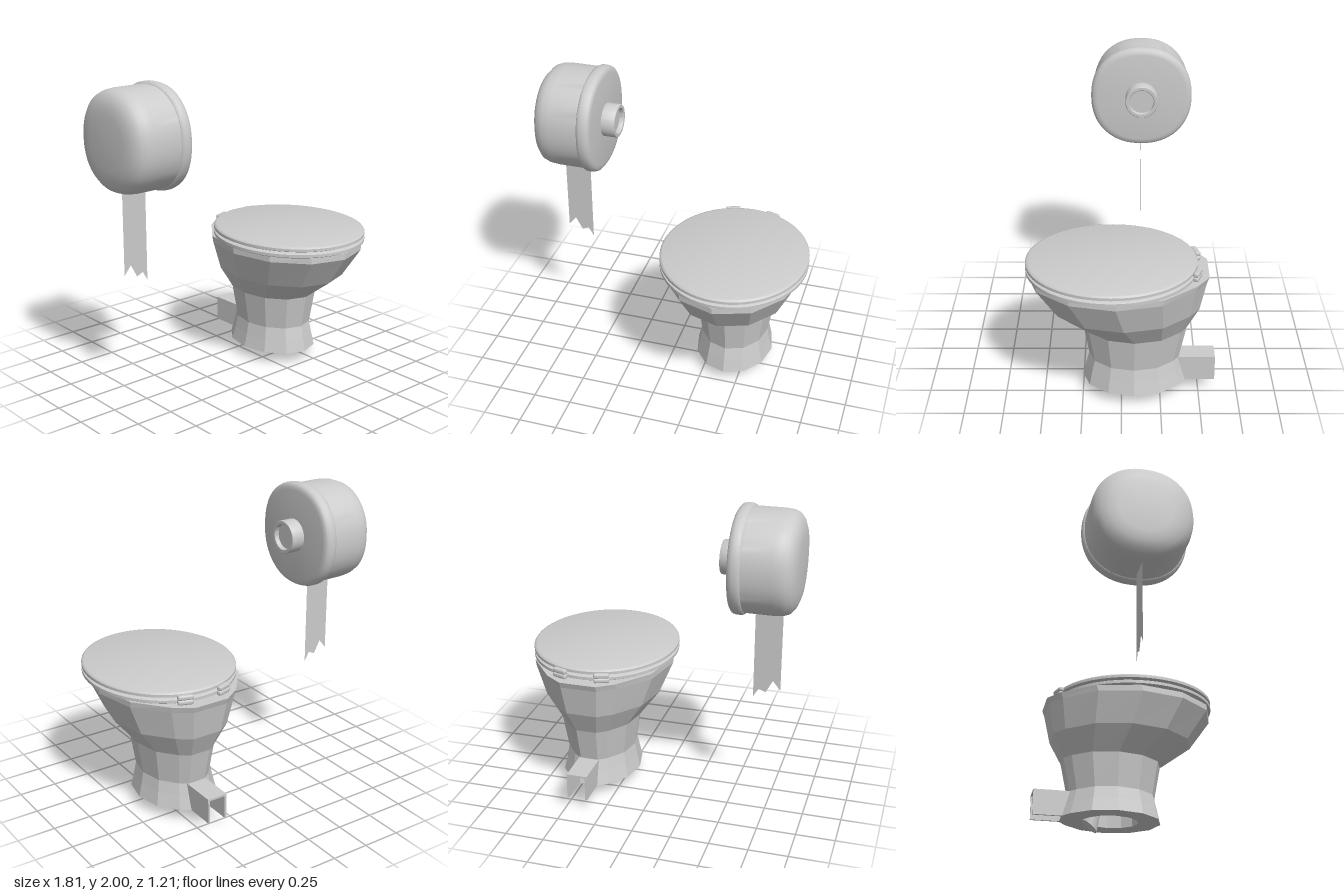
import * as THREE from 'three';
import { toCreasedNormals } from 'three/addons/utils/BufferGeometryUtils.js';
import { RoundedBoxGeometry } from 'three/addons/geometries/RoundedBoxGeometry.js';

const CX = 0.415; // centre line of the bowl
const smooth = new THREE.MeshStandardMaterial({ color: 0xcccccc });
const flat = new THREE.MeshStandardMaterial({ color: 0xcccccc, flatShading: true });
const thin = new THREE.MeshStandardMaterial({ color: 0xcccccc, side: THREE.DoubleSide });

function add(parent, name, geometry, material, x = 0, y = 0, z = 0) {
  const mesh = new THREE.Mesh(geometry, material);
  mesh.name = name;
  mesh.position.set(x, y, z);
  parent.add(mesh);
  return mesh;
}

// Revolved profile of [radius, height]; power > 2 makes the plan slightly square
function turned(profile, power = 2) {
  const g = new THREE.LatheGeometry(profile.map(([r, h]) => new THREE.Vector2(r, h)), 64);
  const p = g.attributes.position;
  for (let i = 0; i < p.count; i++) {
    const x = p.getX(i), z = p.getZ(i), r = Math.hypot(x, z);
    if (r < 1e-6) continue;
    const k = Math.pow(Math.pow(Math.abs(x / r), power) + Math.pow(Math.abs(z / r), power), -1 / power);
    p.setX(i, x * k);
    p.setZ(i, z * k);
  }
  return toCreasedNormals(g, 0.7);
}

// Plan outline: twelve-sided, with the rear point split into a flat edge
function planOutline() {
  const pts = [];
  for (let a = 0; a < 360; a += 30) {
    if (a === 180) pts.push([0.26, -1], [-0.26, -1]);
    else pts.push([Math.sin(a * Math.PI / 180), Math.cos(a * Math.PI / 180)]);
  }
  return pts;
}

// Skin over sections of [y, half width, front z, back z]
function loft(sections) {
  const plan = planOutline(), n = plan.length, pos = [], index = [];
  for (const [y, w, front, back] of sections)
    for (const [px, pz] of plan)
      pos.push(w * px, y, (front + back) / 2 + (front - back) / 2 * pz);
  for (let i = 0; i < sections.length - 1; i++)
    for (let j = 0; j < n; j++) {
      const a = i * n + j, b = i * n + (j + 1) % n;
      index.push(a, b, b + n, a, b + n, a + n);
    }
  const g = new THREE.BufferGeometry();
  g.setAttribute('position', new THREE.Float32BufferAttribute(pos, 3));
  g.setIndex(index);
  g.computeVertexNormals();
  return g;
}

function createToilet() {
  const toilet = new THREE.Group();
  toilet.name = 'toilet';

  // Hollow foot, outer wall, rim and basin in one skin
  add(toilet, 'bowl', loft([
    [0.42, 0.001, -0.08, -0.081],
    [0.42, 0.13, 0.09, -0.25],
    [0.08, 0.14, 0.10, -0.26],
    [0.08, 0.26, 0.25, -0.415],
    [0.17, 0.24, 0.23, -0.39],
    [0.25, 0.225, 0.21, -0.37],
    [0.475, 0.26, 0.25, -0.415],
    [0.63, 0.38, 0.46, -0.49],
    [0.83, 0.46, 0.60, -0.53],
    [0.87, 0.46, 0.60, -0.545],
    [0.87, 0.35, 0.47, -0.38],
    [0.65, 0.27, 0.33, -0.33],
    [0.50, 0.12, 0.06, -0.22],
    [0.48, 0.001, -0.08, -0.081],
  ]), flat, CX);

  // Oval seat ring and closed lid
  const seat = add(toilet, 'seat', turned([
    [0.66, 0.87], [0.975, 0.87], [1, 0.877], [1, 0.896], [0.975, 0.903], [0.66, 0.903], [0.66, 0.87],
  ]), smooth, 0.422, 0, 0.063);
  seat.scale.set(0.48, 1, 0.538);
  const lid = add(toilet, 'lid', turned([
    [0, 0.911], [0.975, 0.911], [1, 0.917], [1, 0.934], [0.99, 0.941], [0.965, 0.945], [0, 0.945],
  ]), smooth, 0.422, 0, 0.063);
  lid.scale.set(0.48, 1, 0.538);

  // Double-barrelled hinges following the rear curve
  for (const s of [-1, 1]) {
    const hinge = new THREE.Group();
    hinge.name = 'hinge';
    hinge.position.set(0.418 + s * 0.138, 0, -0.47);
    hinge.rotation.y = -s * 0.33;
    for (const y of [0.887, 0.918])
      add(hinge, 'hingeBarrel', new RoundedBoxGeometry(0.1, 0.032, 0.036, 2, 0.012), smooth, 0, y, 0);
    toilet.add(hinge);
  }

  // Rear channel, open below and behind
  const channel = new THREE.Shape();
  [[-0.068, 0.08], [-0.054, 0.08], [-0.054, 0.236], [0.054, 0.236], [0.054, 0.08], [0.068, 0.08], [0.068, 0.25], [-0.068, 0.25]]
    .forEach(([x, y], i) => (i ? channel.lineTo(x, y) : channel.moveTo(x, y)));
  add(toilet, 'rearChannel', new THREE.ExtrudeGeometry(channel, { depth: 0.245, bevelEnabled: false }), flat, 0.417, 0, -0.605);

  // Drain spout with a slanting lower end
  const spout = new THREE.CylinderGeometry(0.05, 0.05, 0.4, 24);
  const p = spout.attributes.position;
  for (let i = 0; i < p.count; i++) {
    const z = p.getZ(i);
    if (p.getY(i) < 0) p.setXYZ(i, p.getX(i), (0.05 - z) * 0.8, z - 0.225);
    else p.setXYZ(i, p.getX(i), 0.42, z - 0.16);
  }
  add(toilet, 'drainSpout', toCreasedNormals(spout, 0.7), thin, CX);
  return toilet;
}

function createPaperHolder() {
  const holder = new THREE.Group();
  holder.name = 'paperHolder';
  holder.position.set(0, 1.6625, -0.133);

  // Drum, rim and knob share a sideways axis
  const drum = turned([
    [0, -0.91], [0.17, -0.908], [0.23, -0.9], [0.275, -0.882], [0.305, -0.855], [0.318, -0.82],
    [0.323, -0.77], [0.323, -0.585], [0.331, -0.581], [0.338, -0.565], [0.338, -0.535],
    [0.332, -0.515], [0.318, -0.504], [0.295, -0.5], [0, -0.5],
  ], 2.2);
  const knob = turned([
    [0.108, -0.505], [0.108, -0.415], [0.104, -0.41], [0.085, -0.41], [0.081, -0.415], [0.081, -0.44], [0, -0.44],
  ]);
  add(holder, 'drum', drum, smooth).rotation.z = -Math.PI / 2;
  add(holder, 'knob', knob, smooth).rotation.z = -Math.PI / 2;
  return holder;
}

export function createModel() {
  const model = new THREE.Group();
  model.name = 'toiletAndPaper';
  model.add(createToilet(), createPaperHolder());

  // Hanging paper with a torn end
  const paper = new THREE.Shape([
    [-0.8, 1.37], [-0.8, 0.805], [-0.75, 0.865], [-0.705, 0.78], [-0.66, 0.80], [-0.625, 0.74], [-0.625, 1.37],
  ].map(([x, y]) => new THREE.Vector2(x, y)));
  add(model, 'paperSheet', new THREE.ShapeGeometry(paper), thin, 0, 0, -0.133);
  return model;
}
